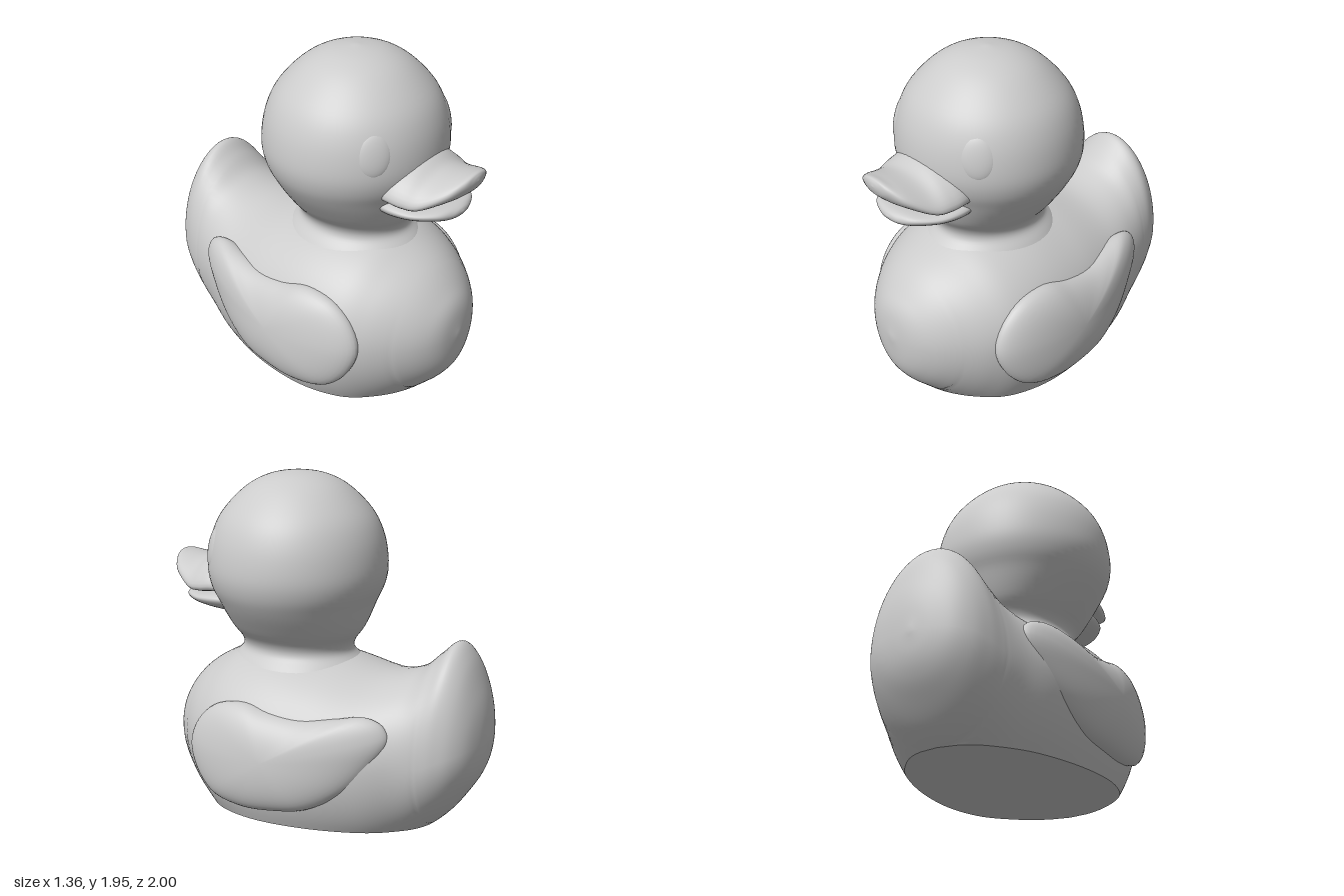
import * as THREE from 'three';
import { mergeVertices } from 'three/addons/utils/BufferGeometryUtils.js';

const material = new THREE.MeshStandardMaterial({ color: 0xcccccc });

function part(name, geometry) {
  const mesh = new THREE.Mesh(geometry, material);
  mesh.name = name;
  return mesh;
}

// Weld seams and recompute smooth normals
function smooth(geometry) {
  geometry.deleteAttribute('uv');
  geometry.deleteAttribute('normal');
  const welded = mergeVertices(geometry, 1e-5);
  welded.computeVertexNormals();
  return welded;
}

// Skin a list of equal-length rings of [x, y, z] points
function loft(rings, closed = true) {
  const n = rings[0].length;
  const index = [];
  for (let i = 0; i < rings.length - 1; i++) {
    for (let j = 0; j < (closed ? n : n - 1); j++) {
      const k = (j + 1) % n;
      const a = i * n + j, b = i * n + k, c = a + n, d = b + n;
      index.push(a, b, c, b, d, c);
    }
  }
  const geometry = new THREE.BufferGeometry();
  geometry.setAttribute('position', new THREE.Float32BufferAttribute(rings.flat(2), 3));
  geometry.setIndex(index);
  return smooth(geometry);
}

// Smoothly interpolate rows of five numbers
function refine(rows, perSpan) {
  const spline = (f) => new THREE.CatmullRomCurve3(rows.map(f), false, 'catmullrom', 0.5);
  const first = spline((r) => new THREE.Vector3(r[0], r[1], r[2]));
  const second = spline((r) => new THREE.Vector3(r[3], r[4], 0));
  const steps = (rows.length - 1) * perSpan;
  return Array.from({ length: steps + 1 }, (_, i) => {
    const p = first.getPoint(i / steps), q = second.getPoint(i / steps);
    return [p.x, p.y, p.z, q.x, q.y];
  });
}

// Body and upturned tail: z, top, bottom, widest height, half width
function makeBody() {
  const stations = refine([
    [-1.0, 0.53, 0.53, 0.53, 0],
    [-0.985, 0.7, 0.4, 0.53, 0.12],
    [-0.95, 0.84, 0.3, 0.52, 0.23],
    [-0.89, 0.99, 0.2, 0.5, 0.31],
    [-0.81, 1.07, 0.09, 0.47, 0.36],
    [-0.72, 1.0, 0, 0.43, 0.395],
    [-0.6, 0.9, -0.1, 0.42, 0.44],
    [-0.4, 0.85, -0.22, 0.4, 0.52],
    [-0.1, 0.9, -0.32, 0.4, 0.59],
    [0.2, 0.94, -0.36, 0.4, 0.61],
    [0.45, 0.92, -0.27, 0.4, 0.58],
    [0.62, 0.85, -0.13, 0.4, 0.5],
    [0.76, 0.765, 0, 0.4, 0.385],
    [0.86, 0.66, 0.1, 0.4, 0.27],
    [0.92, 0.56, 0.21, 0.4, 0.15],
    [0.945, 0.4, 0.4, 0.4, 0],
  ], 6);
  const rings = stations.map(([z, top, bottom, mid, w]) => {
    // Below ground the section is cut off at y = 0
    const start = bottom < 0 ? -Math.asin(mid / (mid - bottom)) : -Math.PI / 2;
    return Array.from({ length: 61 }, (_, j) => {
      const a = start + (Math.PI - 2 * start) * (j / 60);
      const s = Math.sin(a);
      return [w * Math.cos(a), mid + s * (s > 0 ? top - mid : mid - bottom), z];
    });
  });
  const baseRings = rings
    .filter((_, i) => stations[i][2] < 1e-6)
    .map((r) => [[r[60][0], 0, r[60][2]], [r[0][0], 0, r[0][2]]]);
  return [part('body', loft(rings, false)), part('base', loft(baseRings, false))];
}

// Round head flowing into a neck that is longer from front to back
function makeHead() {
  const profile = new THREE.SplineCurve([
    [0.38, 0.79], [0.33, 0.86], [0.285, 0.92], [0.295, 0.98], [0.36, 1.06],
    [0.455, 1.19], [0.512, 1.3], [0.53, 1.42], [0.505, 1.58], [0.437, 1.72],
    [0.302, 1.855], [0.161, 1.925], [0, 1.95],
  ].map(([x, y]) => new THREE.Vector2(x, y)));
  const geometry = new THREE.LatheGeometry(profile.getPoints(60), 64);
  const pos = geometry.attributes.position;
  for (let i = 0; i < pos.count; i++) {
    const k = THREE.MathUtils.smoothstep(pos.getY(i), 0.93, 1.25);
    pos.setZ(i, 0.2 + pos.getZ(i) * THREE.MathUtils.lerp(1.19, 0.98, k));
  }
  return part('headAndNeck', smooth(geometry));
}

// Beak half: z, centre height, half thickness, half width, droop of the sides
function makeBeak(name, rows) {
  const rings = refine(rows, 6).map(([z, y, h, w, droop]) =>
    Array.from({ length: 40 }, (_, j) => {
      const a = (j / 40) * Math.PI * 2;
      const c = Math.cos(a);
      return [w * c, y + h * Math.sin(a) - droop * c * c, z];
    }));
  return part(name, loft(rings));
}

// Wing: a bean outline in z, y swollen into a pillow that follows the body side
function makeWing(name, side) {
  const outline = new THREE.CatmullRomCurve3([
    [0.62, 0.42], [0.57, 0.56], [0.45, 0.665], [0.27, 0.7], [0.1, 0.667],
    [-0.1, 0.65], [-0.28, 0.675], [-0.44, 0.7], [-0.54, 0.66], [-0.575, 0.58],
    [-0.5, 0.44], [-0.35, 0.27], [-0.15, 0.15], [0.05, 0.113], [0.25, 0.105],
    [0.45, 0.15], [0.57, 0.27],
  ].map(([z, y]) => new THREE.Vector3(0, y, z)), true).getPoints(72).slice(0, -1);
  const rings = Array.from({ length: 29 }, (_, i) => {
    const phi = (i / 28) * Math.PI;
    const s = Math.sin(phi);
    return outline.map((p) => {
      const y = 0.42 + (p.y - 0.42) * s;
      const z = 0.08 + (p.z - 0.08) * s;
      const rim = 0.545 - 0.17 * (z - 0.25) ** 2 - 0.1 * (y - 0.4);
      return [rim + 0.135 * Math.cos(phi), y, z];
    });
  });
  const wing = part(name, loft(rings));
  wing.scale.x = side;
  return wing;
}

// Eye: flattened oval lying on the head surface
function makeEye(name, side) {
  const eye = part(name, new THREE.SphereGeometry(1, 32, 20));
  eye.position.set(side * 0.325, 1.525, 0.56);
  eye.lookAt(side * 0.65, 1.63, 0.93);
  eye.rotateZ(side * 0.06);
  eye.scale.set(0.1, 0.125, 0.035);
  return eye;
}

export function createModel() {
  const duck = new THREE.Group();
  duck.name = 'bathDuck';
  duck.add(...makeBody(), makeHead());
  duck.add(makeBeak('upperBeak', [
    [0.5, 1.35, 0.1, 0.27, 0.08],
    [0.62, 1.365, 0.105, 0.3, 0.085],
    [0.71, 1.35, 0.1, 0.295, 0.08],
    [0.8, 1.33, 0.08, 0.265, 0.06],
    [0.92, 1.355, 0.065, 0.19, 0.02],
    [0.975, 1.38, 0.05, 0.11, 0],
    [0.993, 1.39, 0.028, 0.05, 0],
    [1.0, 1.392, 0, 0, 0],
  ]));
  duck.add(makeBeak('lowerBeak', [
    [0.5, 1.165, 0.075, 0.25, -0.03],
    [0.62, 1.165, 0.07, 0.275, -0.03],
    [0.75, 1.165, 0.052, 0.25, -0.025],
    [0.86, 1.175, 0.042, 0.17, -0.015],
    [0.905, 1.18, 0.025, 0.08, 0],
    [0.92, 1.182, 0, 0, 0],
  ]));
  for (const [label, side] of [['left', 1], ['right', -1]]) {
    duck.add(makeWing(label + 'Wing', side), makeEye(label + 'Eye', side));
  }
  return duck;
}
